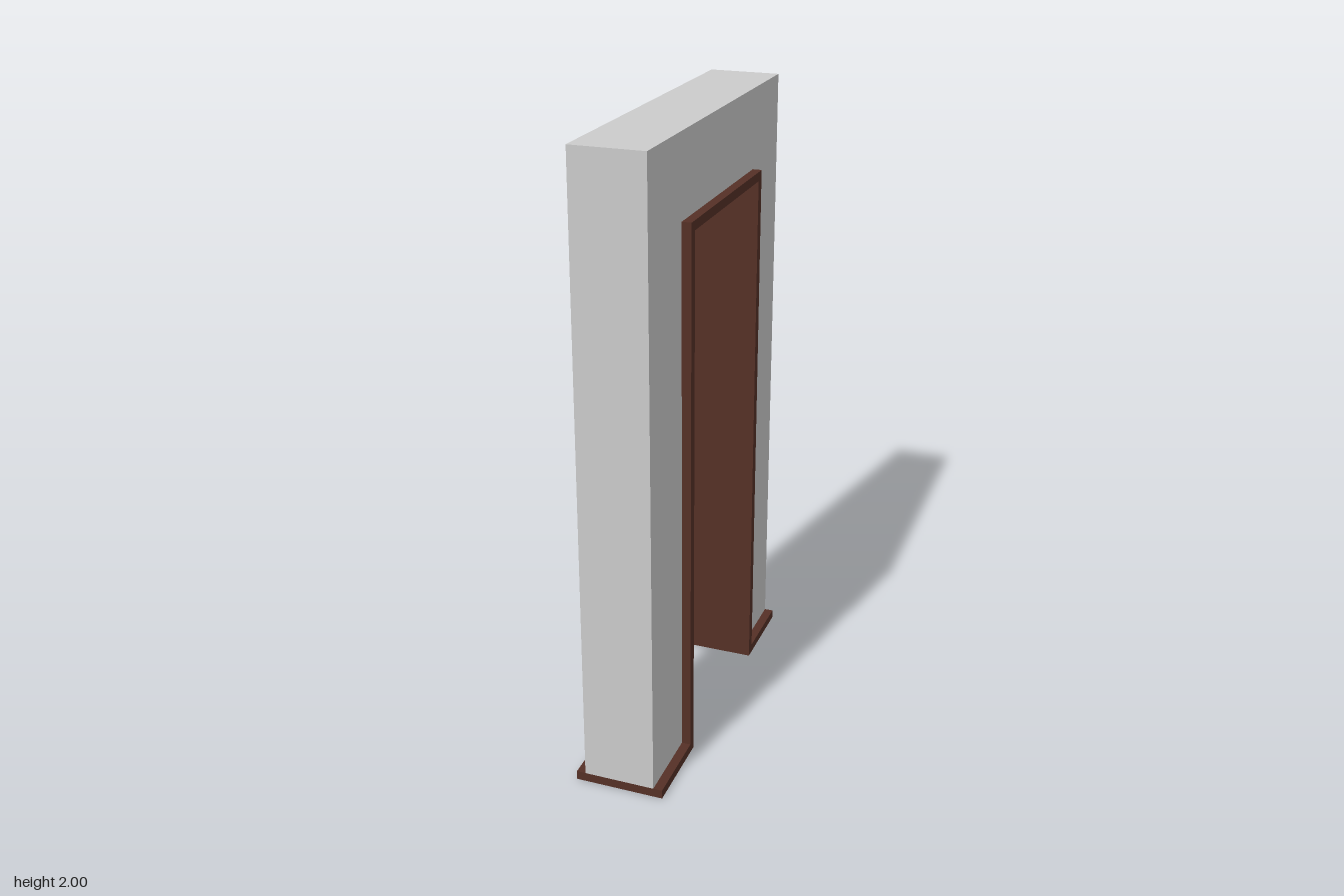
import * as THREE from 'three';

const WALL_X = 0.113, TRIM_X = 0.142;   // half thicknesses
const END_Z = 0.572;                    // half length
const OPEN_Z = 0.29, OPEN_Y = 1.72;     // clear opening
const T = 0.029;                        // lining thickness

// Extrude a (z, y) outline across x, centred on x = 0
function extrudeAcross(name, points, halfX, material) {
  const shape = new THREE.Shape(points.map(([z, y]) => new THREE.Vector2(z, y)));
  const geometry = new THREE.ExtrudeGeometry(shape, { depth: 2 * halfX, bevelEnabled: false });
  geometry.translate(0, 0, -halfX);
  geometry.rotateY(-Math.PI / 2);
  const mesh = new THREE.Mesh(geometry, material);
  mesh.name = name;
  return mesh;
}

// Complete an outline by mirroring its +z half
const mirrored = (half) => [...half, ...half.map(([z, y]) => [-z, y]).reverse()];

export function createModel() {
  const group = new THREE.Group();
  group.name = 'doorway';
  const plaster = new THREE.MeshStandardMaterial({ color: 0xcccccc });
  const wood = new THREE.MeshStandardMaterial({ color: 0x553026 });

  // Wall with the door opening
  group.add(extrudeAcross('wall', mirrored([
    [OPEN_Z + T, OPEN_Y + T], [OPEN_Z + T, T], [END_Z, T], [END_Z, 2],
  ]), WALL_X, plaster));

  // Door lining: jambs and head, continuing into a foot plate under each pier
  group.add(extrudeAcross('doorLining', mirrored([
    [OPEN_Z, OPEN_Y], [OPEN_Z, 0], [END_Z, 0], [END_Z, T],
    [OPEN_Z + T, T], [OPEN_Z + T, OPEN_Y + T],
  ]), TRIM_X, wood));

  return group;
}
